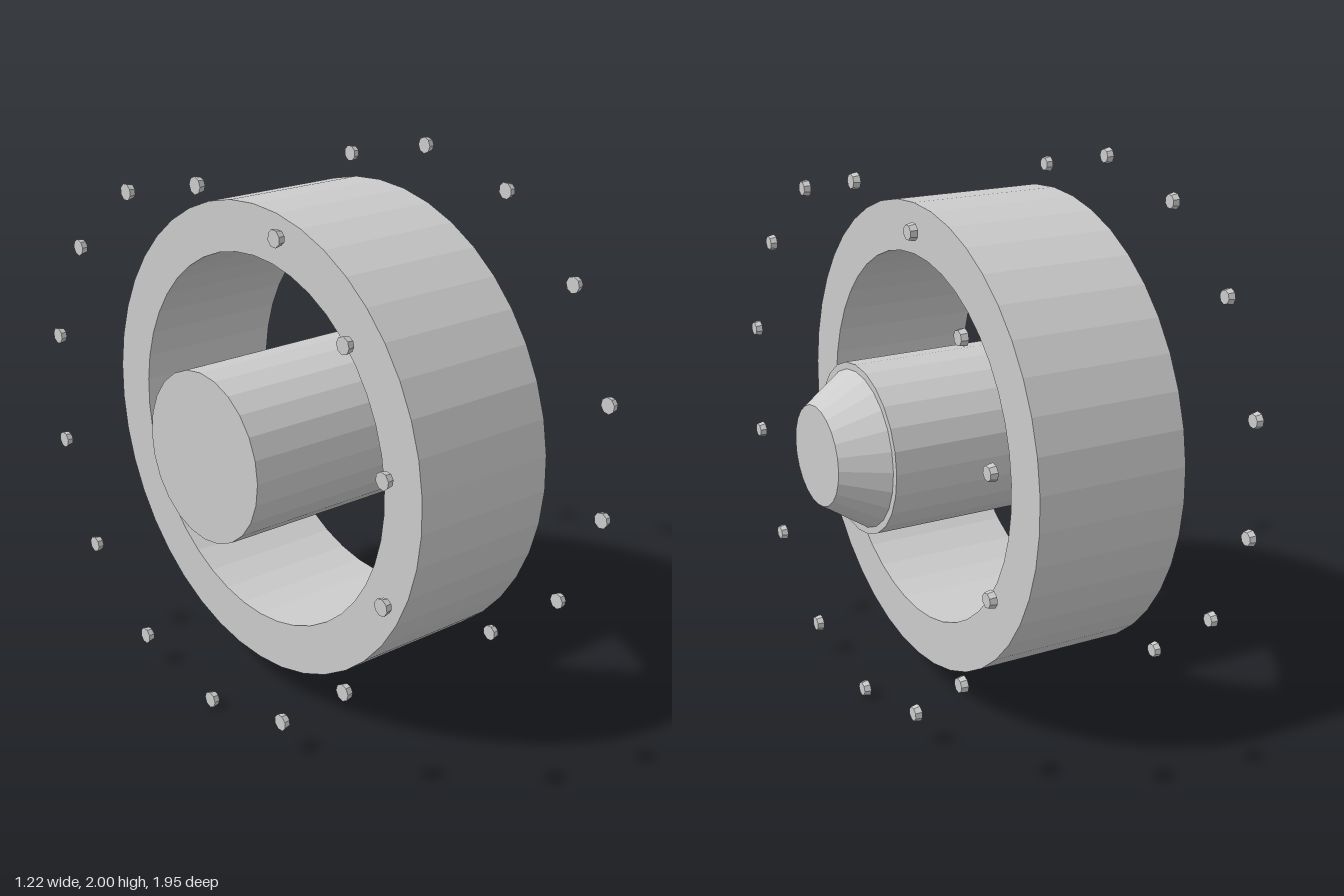
import * as THREE from 'three';

const material = new THREE.MeshStandardMaterial({ color: 0xcccccc, flatShading: true });
const AXIS_Y = 1;

// Solid turned about the x axis from [x, radius] points, a corner facing straight down
function turned(name, profile, sides) {
  const points = profile.map(([x, r]) => new THREE.Vector2(r, x));
  const geometry = new THREE.LatheGeometry(points, sides, Math.PI / 2);
  geometry.rotateZ(-Math.PI / 2);
  const mesh = new THREE.Mesh(geometry, material);
  mesh.name = name;
  mesh.position.y = AXIS_Y;
  return mesh;
}

export function createModel() {
  const model = new THREE.Group();
  model.name = 'wheelAssembly';

  // Open outer rim with square edges
  model.add(turned('rim', [
    [-0.37, 0.69], [-0.37, 0.873], [0.207, 0.873], [0.207, 0.69], [-0.37, 0.69],
  ], 42));

  // Central hub and its tapered cap
  model.add(turned('hub', [[-0.61, 0], [-0.61, 0.315], [0.445, 0.315], [0.445, 0]], 24));
  model.add(turned('hubCap', [[0.445, 0], [0.445, 0.29], [0.605, 0.185], [0.605, 0]], 24));

  // A circle of small tapered bolts on each side
  const boltCount = 14;
  const boltCircle = 0.969;
  for (const [name, x] of [['rightBolts', -0.61], ['leftBolts', 0.423]]) {
    const bolts = new THREE.Group();
    bolts.name = name;
    for (let i = 0; i < boltCount; i++) {
      const angle = (i / boltCount) * Math.PI * 2;
      const bolt = turned('bolt', [[0, 0], [0, 0.031], [0.025, 0.026], [0.025, 0]], 8);
      bolt.position.set(x, AXIS_Y + Math.cos(angle) * boltCircle, Math.sin(angle) * boltCircle);
      bolt.rotation.x = angle;
      bolts.add(bolt);
    }
    model.add(bolts);
  }

  return model;
}
